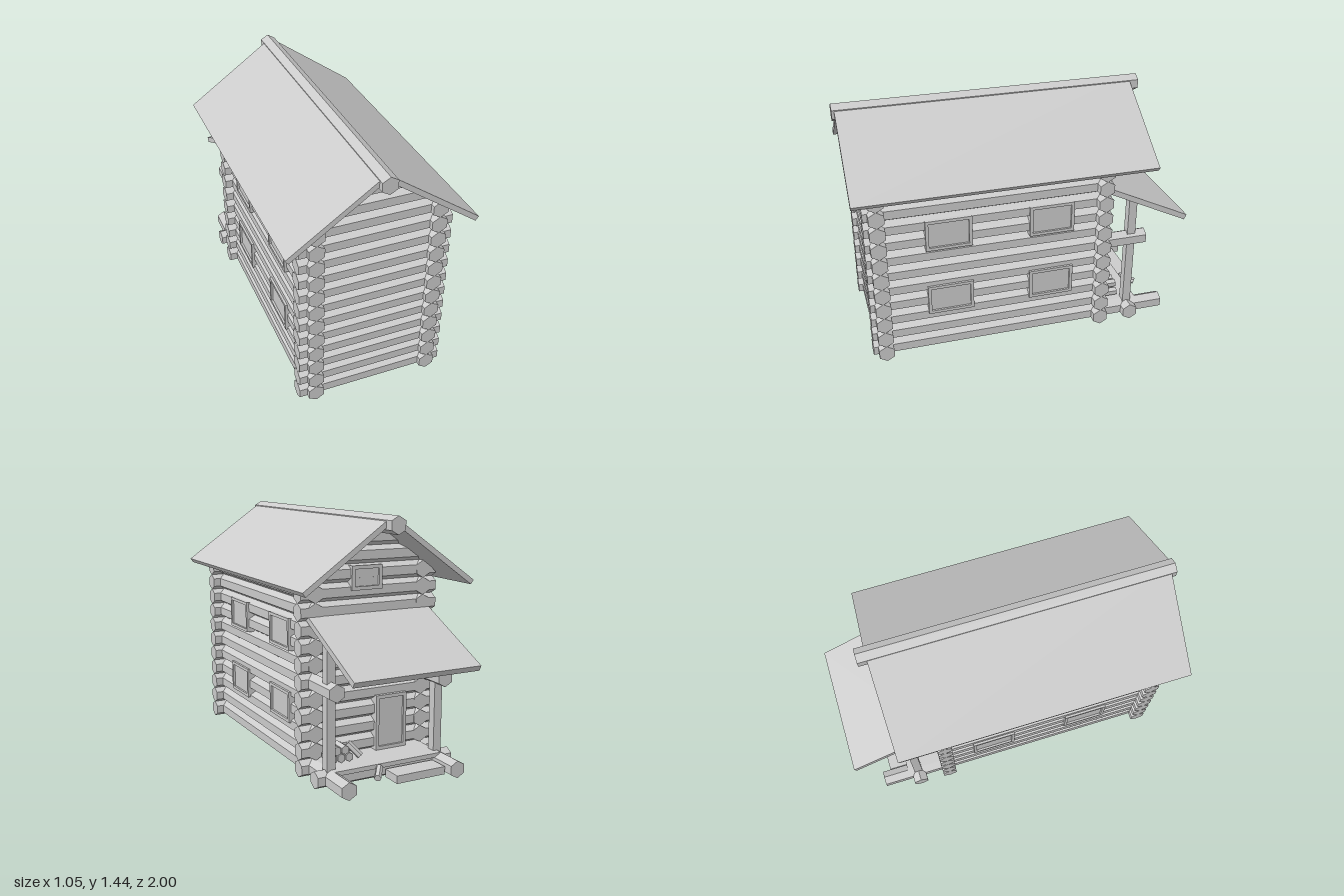
import * as THREE from 'three';

const mat = new THREE.MeshStandardMaterial({ color: 0xcccccc, flatShading: true, side: THREE.DoubleSide });
const R = 0.05, PITCH = 0.097, LEVELS = 12;
const SIDE = 0.34, FRONT = 0.85, BACK = -0.46;
const PORCH = -0.655, SLOPE = 0.705, PEAK = 1.44;

export function createModel() {
  const model = new THREE.Group();

  const add = (name, geo, parent = model) => {
    const mesh = new THREE.Mesh(geo, mat);
    mesh.name = name;
    parent.add(mesh);
    return mesh;
  };
  const group = (name) => {
    const g = new THREE.Group();
    g.name = name;
    model.add(g);
    return g;
  };
  // box given by its limits
  const box = (name, x0, x1, y0, y1, z0, z1, parent) => add(name,
    new THREE.BoxGeometry(x1 - x0, y1 - y0, z1 - z0)
      .translate((x0 + x1) / 2, (y0 + y1) / 2, (z0 + z1) / 2), parent);

  // hexagonal logs with an edge on top and bottom
  const logZ = (name, x, y, z0, z1, parent) => add(name,
    new THREE.CylinderGeometry(R, R, z1 - z0, 6).rotateX(Math.PI / 2)
      .translate(x, y, (z0 + z1) / 2), parent);
  const logX = (name, y, z, half, parent) => {
    const geo = new THREE.CylinderGeometry(R, R, half * 2, 6).rotateX(Math.PI / 2)
      .rotateY(Math.PI / 2).translate(0, y, z);
    // trim the ends to the underside of the roof
    const p = geo.attributes.position;
    for (let i = 0; i < p.count; i++) {
      const limit = Math.max(0, (PEAK - 0.03 - p.getY(i)) / SLOPE);
      p.setX(i, THREE.MathUtils.clamp(p.getX(i), -limit, limit));
    }
    return add(name, geo, parent);
  };
  const levelY = (i) => R + i * PITCH;

  // side walls; some logs run on to carry the porch
  const walls = group('walls');
  for (let i = 0; i < LEVELS; i++) {
    const end = i === 0 ? -0.88 : i === 5 ? -0.745 : -0.505;
    for (const s of [-1, 1]) logZ('sideLog', s * SIDE, levelY(i), end, 0.92, walls);
  }
  // end walls and gables
  for (const z of [FRONT, BACK])
    for (let i = 0; i < LEVELS + 2; i++)
      logX(i < LEVELS ? 'endLog' : 'gableLog', levelY(i), z, 0.428, walls);

  // upper floor
  box('upperFloor', -SIDE, SIDE, 0.52, 0.55, BACK, FRONT);

  // ridge log and roof slabs
  logZ('ridgeLog', 0, 1.39, -0.777, 1);
  for (const s of [-1, 1]) {
    const slab = new THREE.Shape([
      [0, PEAK], [0.525, 1.07], [0.508, 1.046], [0, PEAK - 0.036],
    ].map(([x, y]) => new THREE.Vector2(s * x, y)));
    const depth = s > 0 ? 1.71 : 1.695;
    add('roofSlab', new THREE.ExtrudeGeometry(slab, { depth, bevelEnabled: false })
      .translate(0, 0, -0.725));
  }

  // framed panel facing +z, standing centred on the origin
  const framed = (name, w, h, bar = 0.02) => {
    const g = group(name);
    const shape = new THREE.Shape([[-1, -1], [1, -1], [1, 1], [-1, 1]]
      .map(([x, y]) => new THREE.Vector2(x * w / 2, y * h / 2)));
    shape.holes.push(new THREE.Path([[-1, -1], [-1, 1], [1, 1], [1, -1]]
      .map(([x, y]) => new THREE.Vector2(x * (w / 2 - bar), y * (h / 2 - bar)))));
    add('frame', new THREE.ExtrudeGeometry(shape, { depth: 0.06, bevelEnabled: false })
      .translate(0, 0, -0.06), g);
    box('panel', -w / 2 + bar, w / 2 - bar, -h / 2 + bar, h / 2 - bar, -0.05, -0.012, g);
    return g;
  };

  // side windows
  for (const s of [-1, 1])
    for (const [y, h] of [[0.345, 0.18], [0.765, 0.185]])
      for (const z of [0.455, -0.145]) {
        const w = framed('sideWindow', 0.265, h, 0.018);
        w.position.set(s * 0.397, y, z);
        w.rotation.y = s * Math.PI / 2;
      }
  // gable window and door in the back wall
  const attic = framed('gableWindow', 0.19, 0.135);
  attic.position.set(0.03, 1.093, -0.515);
  attic.rotation.y = Math.PI;
  const door = framed('door', 0.2, 0.32);
  door.position.set(-0.13, 0.26, -0.525);
  door.rotation.y = Math.PI;

  // porch: sill log, deck, step and posts
  logX('porchSill', R, PORCH, 0.428);
  box('porchDeck', -SIDE, SIDE, 0.075, 0.1, -0.72, BACK);
  box('porchStep', -0.29, 0.02, 0.015, 0.06, -0.83, -0.71);
  for (const s of [-1, 1])
    for (const [y0, y1] of [[0.08, 0.51], [0.57, 0.8]])
      box('porchPost', s * SIDE - 0.025, s * SIDE + 0.025, y0, y1, PORCH - 0.025, PORCH + 0.025);

  // porch roof, sloping away from the wall
  const lean = new THREE.Shape([[-0.47, 0.915], [-1, 0.658], [-0.985, 0.628], [-0.47, 0.88]]
    .map(([z, y]) => new THREE.Vector2(z, y)));
  add('porchRoof', new THREE.ExtrudeGeometry(lean, { depth: 0.766, bevelEnabled: false })
    .rotateY(-Math.PI / 2).translate(0.383, 0, 0));

  // firewood stacked by the wall, with loose pieces
  const firewood = group('firewood');
  for (let row = 0; row < 2; row++)
    for (let i = 0; i < 3 - row; i++)
      add('stackedPiece', new THREE.CylinderGeometry(0.026, 0.026, 0.1, 6).rotateX(Math.PI / 2)
        .translate(0.19 + i * 0.05 + row * 0.025, 0.126 + row * 0.044, -0.562), firewood);
  const loose = (a, b) => {
    const from = new THREE.Vector3(...a), to = new THREE.Vector3(...b);
    const piece = add('loosePiece', new THREE.CylinderGeometry(0.02, 0.02, from.distanceTo(to), 6), firewood);
    piece.position.lerpVectors(from, to, 0.5);
    piece.quaternion.setFromUnitVectors(new THREE.Vector3(0, 1, 0), to.clone().sub(from).normalize());
  };
  loose([0.11, 0.115, -0.59], [0.17, 0.185, -0.55]);
  loose([0.07, 0.085, -0.73], [0.13, 0.06, -0.81]);

  return model;
}
